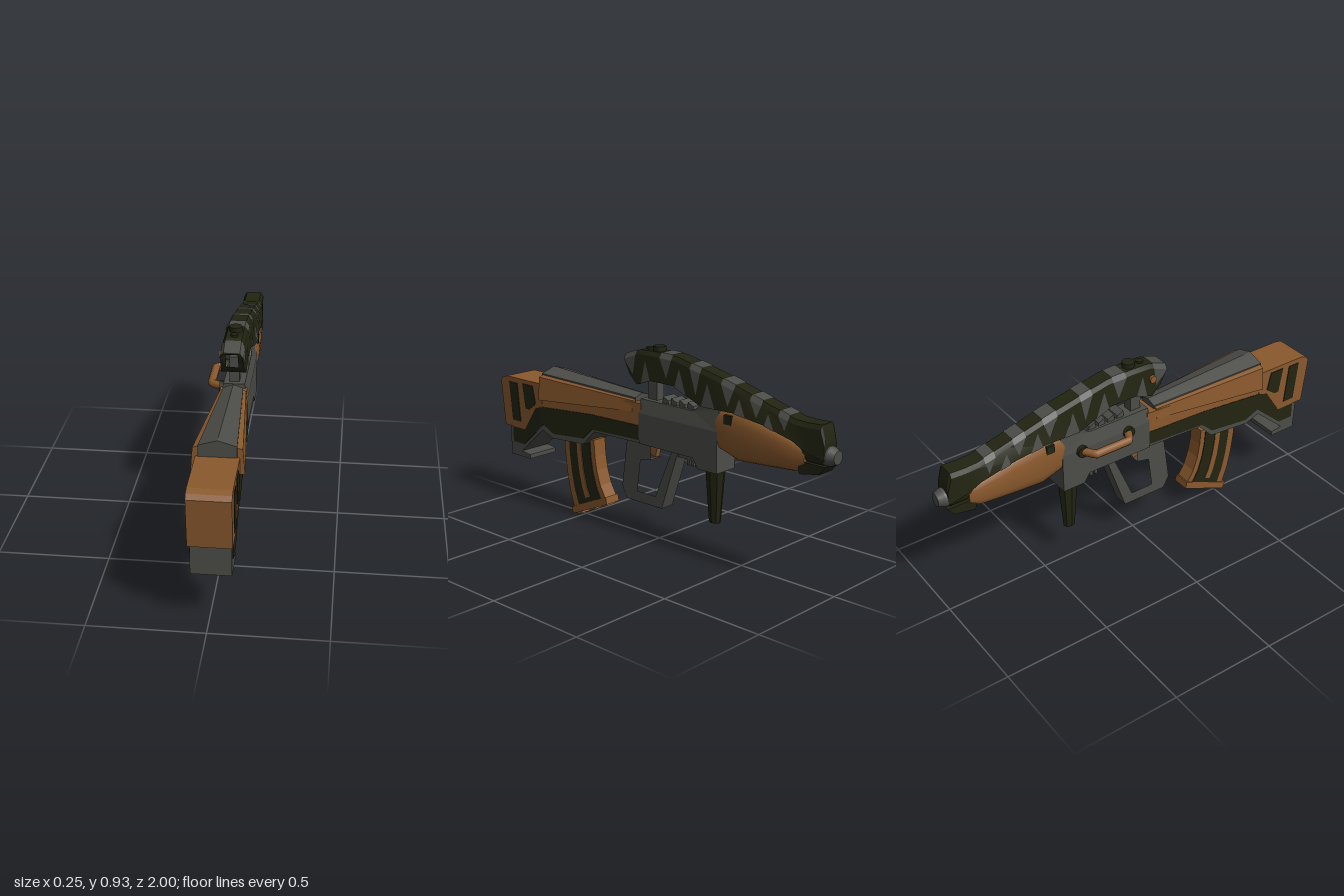
import * as THREE from 'three';
import { toCreasedNormals } from 'three/addons/utils/BufferGeometryUtils.js';

const mat = (name, color) => Object.assign(new THREE.MeshStandardMaterial({ color }), { name });
const lerp = THREE.MathUtils.lerp;

export function createModel() {
  const model = new THREE.Group();
  model.name = 'rifle';
  const brown = mat('brown', 0x8a592d), grey = mat('grey', 0x4c4c48), dark = mat('darkGreen', 0x222411);

  const add = (name, geo, m, x = 0, y = 0, z = 0) => {
    const mesh = new THREE.Mesh(geo, m);
    mesh.name = name;
    mesh.position.set(x, y, z);
    model.add(mesh);
    return mesh;
  };
  const box = (name, w, h, d, m, x, y, z) => add(name, new THREE.BoxGeometry(w, h, d), m, x, y, z);

  // Side profile of [z, y] points, extruded across x to half width w (number or rule of z, y)
  const side = (name, pts, w, m, hole) => {
    const toV = (p) => new THREE.Vector2(p[0], p[1]);
    const shape = new THREE.Shape(pts.map(toV));
    if (hole) shape.holes.push(new THREE.Path(hole.map(toV)));
    const geo = new THREE.ExtrudeGeometry(shape, { depth: 2, bevelEnabled: false });
    geo.translate(0, 0, -1).rotateY(-Math.PI / 2);
    const p = geo.attributes.position;
    for (let i = 0; i < p.count; i++) {
      p.setX(i, p.getX(i) * (typeof w === 'number' ? w : w(p.getZ(i), p.getY(i))));
    }
    geo.computeVertexNormals();
    return add(name, geo, m);
  };

  // Skin over rings running from front to back, each counter-clockwise seen from +z
  const loft = (name, rings, m, crease = 0.3, frontCap = true) => {
    const n = rings[0].length, pos = rings.flat(2), idx = [];
    for (let i = 0; i < rings.length - 1; i++) {
      for (let j = 0; j < n; j++) {
        const a = i * n + j, b = i * n + (j + 1) % n, c = a + n, d = b + n;
        idx.push(a, c, b, c, d, b);
      }
    }
    const last = (rings.length - 1) * n;
    for (let j = 1; j < n - 1; j++) {
      if (frontCap) idx.push(0, j, j + 1);
      idx.push(last, last + j + 1, last + j);
    }
    const geo = new THREE.BufferGeometry();
    geo.setAttribute('position', new THREE.Float32BufferAttribute(pos, 3));
    geo.setIndex(idx);
    return add(name, toCreasedNormals(geo, crease), m);
  };

  // Stock and body, narrowing toward the receiver
  const taper = (extra) => (z) => extra + (z > 0.7 ? 0.085 : lerp(0.055, 0.085, (z - 0.06) / 0.64));
  side('stockBlock', [[1, 0.625], [0.985, 0.645], [0.955, 0.655], [0.7, 0.655], [0.69, 0.54], [0.74, 0.525],
    [0.825, 0.4], [0.975, 0.4]], 0.091, brown);
  side('upperBody', [[0.7, 0.655], [0.7, 0.54], [0.37, 0.56], [0.05, 0.56], [0.05, 0.665]], taper(0.005), brown);
  side('lowerBody', [[0.945, 0.4], [0.94, 0.25], [0.8, 0.25], [0.8, 0.272], [0.86, 0.28], [0.7, 0.42], [0.63, 0.39],
    [0.42, 0.4], [0.35, 0.475], [0.05, 0.475], [0.05, 0.56], [0.37, 0.56], [0.69, 0.54], [0.74, 0.525], [0.825, 0.4]],
  taper(0), grey);
  side('bodyBand', [[0.74, 0.524], [0.69, 0.538], [0.37, 0.558], [0.05, 0.558], [0.05, 0.49], [0.36, 0.485],
    [0.42, 0.43], [0.62, 0.415], [0.69, 0.45], [0.84, 0.32], [0.92, 0.32], [0.92, 0.4], [0.825, 0.402]], taper(0.004), dark);
  side('rearStockSlot', [[0.935, 0.63], [0.875, 0.63], [0.855, 0.435], [0.915, 0.435]], 0.094, dark);
  side('frontStockSlot', [[0.835, 0.635], [0.76, 0.635], [0.74, 0.545], [0.79, 0.51], [0.815, 0.51]], 0.094, dark);

  // Cheek rest: flared brown sides with a grey ridged roof
  const gable = (z, w0, y0, w1, y1, top) => [[w0, y0, z], [w1, y1, z], [0, top, z], [-w1, y1, z], [-w0, y0, z]];
  loft('cheekSides', [gable(0.695, 0.112, 0.578, 0.103, 0.692, 0.724), gable(0.1, 0.064, 0.62, 0.059, 0.67, 0.69)], brown);
  loft('cheekRoof', [gable(0.7, 0.08, 0.62, 0.08, 0.706, 0.73), gable(0.095, 0.045, 0.63, 0.045, 0.682, 0.698)], grey);

  // Receiver with chamfered top, rails and post
  side('receiver', [[0.06, 0.62], [0.06, 0.475], [-0.27, 0.475], [-0.3, 0.43], [-0.41, 0.43], [-0.41, 0.62]], 0.062, grey);
  side('receiverTop', [[0.06, 0.62], [-0.41, 0.62], [-0.41, 0.72], [-0.3, 0.72], [-0.26, 0.685], [0.06, 0.685]],
    (z, y) => (y > 0.65 ? 0.048 : 0.062), grey);
  box('sightPost', 0.045, 0.13, 0.055, grey, 0, 0.74, 0.008);
  box('lowerRail', 0.05, 0.03, 0.16, grey, 0, 0.462, -0.2);
  for (let i = 0; i < 4; i++) {
    const z = -0.08 - i * 0.05;
    side('railTooth', [[z + 0.015, 0.68], [z - 0.025, 0.68], [z - 0.02, 0.7], [z + 0.012, 0.715]], 0.036, grey);
    if (i < 3) box('lowerRailTooth', 0.044, 0.03, 0.016, grey, 0, 0.435, -0.21 - i * 0.025);
  }

  // Grip loop, trigger and front leg
  side('gripLoop', [[0.16, 0.48], [0.195, 0.235], [0.165, 0.18], [-0.06, 0.18], [-0.15, 0.445], [-0.17, 0.48]], 0.036, grey,
    [[0.01, 0.4], [0.075, 0.385], [0.095, 0.23], [-0.02, 0.23], [-0.12, 0.465], [0.01, 0.465]]);
  side('trigger', [[0.03, 0.48], [-0.015, 0.48], [0, 0.41], [0.03, 0.42]], 0.014, brown);
  add('frontLeg', toCreasedNormals(new THREE.CylinderGeometry(0.05, 0.029, 0.26, 8), 0.3), dark, 0, 0.31, -0.352).scale.x = 0.8;

  // Curved magazine: rows of [front z, front y, rear z, rear y]
  const rows = [[0.595, 0.42, 0.385, 0.42], [0.59, 0.32, 0.38, 0.34], [0.578, 0.22, 0.368, 0.27],
    [0.56, 0.13, 0.345, 0.2], [0.53, 0.04, 0.31, 0.14]];
  const magStrip = (name, u0, u1, w, m, shorten = 0) => {
    const at = (r, u) => [lerp(r[0], r[2], u), lerp(r[1], r[3], u)];
    const used = rows.map((r, i) => (i === 4 ? r.map((v, k) => lerp(v, rows[3][k], shorten)) : r));
    side(name, [...used.map((r) => at(r, u0)), ...used.map((r) => at(r, u1)).reverse()], w, m);
  };
  magStrip('magazine', 0, 1, 0.037, brown);
  magStrip('magazineInset', 0.17, 0.87, 0.04, dark, 0.12);
  magStrip('magazineRib', 0.44, 0.58, 0.043, brown, 0.4);
  side('magazineBase', [[0.548, 0.045], [0.535, 0.012], [0.297, 0.115], [0.305, 0.15]], 0.042, brown);
  for (const t of [0.08, 0.5, 0.87]) {
    box('baseLug', 0.06, 0.024, 0.04, brown, 0, lerp(0.018, 0.118, t), lerp(0.525, 0.305, t)).rotation.x = 0.42;
  }

  // Rounded handguard: [z, top, bottom, half width]
  const hull = [[-0.365, 0.67, 0.61, 0.05], [-0.41, 0.72, 0.535, 0.062], [-0.51, 0.735, 0.503, 0.066],
    [-0.66, 0.705, 0.512, 0.063], [-0.81, 0.66, 0.522, 0.053], [-0.865, 0.64, 0.545, 0.046]];
  const soft = (v) => Math.sign(v) * Math.abs(v) ** 0.65;
  loft('handguard', hull.map(([z, top, bot, w]) => Array.from({ length: 20 }, (_, j) => {
    const a = (j / 20) * Math.PI * 2;
    return [w * soft(Math.cos(a)), (top + bot) / 2 + (top - bot) / 2 * soft(Math.sin(a)), z];
  })), brown, 0.7);
  box('handguardPort', 0.132, 0.04, 0.04, dark, 0, 0.685, -0.47);

  // Hollow carry handle: [z top, y top, z bottom, y bottom, lower half width]
  const spine = [[0.165, 0.875, 0.125, 0.79, 0.052], [0.07, 0.91, 0.075, 0.75, 0.057], [-0.02, 0.912, -0.01, 0.78, 0.057],
    [-0.15, 0.91, -0.15, 0.78, 0.058], [-0.31, 0.877, -0.31, 0.718, 0.062], [-0.41, 0.855, -0.41, 0.72, 0.066],
    [-0.5, 0.832, -0.5, 0.722, 0.068], [-0.66, 0.788, -0.66, 0.7, 0.066], [-0.81, 0.748, -0.81, 0.66, 0.059],
    [-0.87, 0.745, -0.87, 0.625, 0.053], [-0.94, 0.748, -0.94, 0.605, 0.048], [-0.96, 0.68, -0.96, 0.6, 0.044]];
  const mirrorRing = (half) => [...half, ...half.map(([x, y, z]) => [-x, y, z]).reverse()];
  const WM = 0.048, WT = 0.036;
  const shell = spine.map(([zt, yt, zb, yb, wb]) => mirrorRing([[wb, yb, zb], [Math.min(WM, wb), yt - 0.02, zt], [WT, yt, zt]]));
  const windowRing = mirrorRing([[0.027, 0.797, 0.128], [0.027, 0.86, 0.158], [0.025, 0.87, 0.163]]);
  loft('carryHandle', [windowRing, ...shell], dark, 0.3, false);

  // Camouflage teeth, laid just above the handle's skin
  const tris = [];
  const spineAt = (z) => {
    let i = 0;
    while (i < spine.length - 2 && z < spine[i + 1][0]) i++;
    const t = (z - spine[i][0]) / (spine[i + 1][0] - spine[i][0]);
    return spine[i].map((v, k) => lerp(v, spine[i + 1][k], t));
  };
  const skin = (z, t, s) => {
    const [, yt, zb, yb, wb] = spineAt(z);
    return [s * (lerp(Math.min(WM, wb), wb, t) + 0.004), lerp(yt - 0.02, yb, t), lerp(z, zb, t)];
  };
  const tri = (s, a, b, c) => tris.push(...a, ...(s > 0 ? b : c), ...(s > 0 ? c : b));
  for (const s of [1, -1]) {
    for (const [z0, z1] of [[0.163, 0.09], [-0.06, -0.13], [-0.24, -0.3], [-0.42, -0.49], [-0.58, -0.64], [-0.73, -0.78]]) {
      tri(s, skin(z0, 0, s), skin((z0 + z1) / 2 - 0.015, 0.75, s), skin(z1, 0, s));
      const strip = [0, 1, 2].map((k) => [z0, z1].map((z) => (k === 0 ? skin(z, 0, s)
        : [k === 1 ? s * WT : 0, spineAt(z)[1] + 0.004, z])));
      for (let k = 0; k < 2; k++) {
        tri(s, strip[k][0], strip[k][1], strip[k + 1][1]);
        tri(s, strip[k][0], strip[k + 1][1], strip[k + 1][0]);
      }
    }
    for (const [z0, z1] of [[0.04, -0.02], [-0.16, -0.23], [-0.32, -0.4], [-0.51, -0.57], [-0.67, -0.72]]) {
      tri(s, skin(z0, 1, s), skin(z1, 1, s), skin((z0 + z1) / 2 + 0.015, 0.2, s));
    }
  }
  const camo = new THREE.BufferGeometry();
  camo.setAttribute('position', new THREE.Float32BufferAttribute(tris, 3));
  camo.computeVertexNormals();
  add('camouflageTeeth', camo, grey);

  // Sight knobs
  add('sightKnob', new THREE.CylinderGeometry(0.03, 0.03, 0.035, 8), dark, 0, 0.916, -0.015);
  add('smallKnob', new THREE.CylinderGeometry(0.017, 0.017, 0.03, 8), dark, 0, 0.905, 0.045);
  add('sideKnob', new THREE.CylinderGeometry(0.018, 0.018, 0.02, 12).rotateZ(Math.PI / 2), brown, -0.053, 0.836, 0.08);

  // Muzzle
  add('barrelCollar', new THREE.CylinderGeometry(0.046, 0.046, 0.12, 16).rotateX(Math.PI / 2), dark, 0, 0.615, -0.89);
  add('muzzle', new THREE.CylinderGeometry(0.043, 0.03, 0.03, 16).rotateX(Math.PI / 2), grey, 0, 0.615, -0.985);
  add('muzzleRing', new THREE.CylinderGeometry(0.043, 0.043, 0.03, 16).rotateX(Math.PI / 2), grey, 0, 0.615, -0.955);
  side('lowerJaw', [[-0.83, 0.578], [-0.97, 0.578], [-0.94, 0.54], [-0.84, 0.522]], 0.045, dark);

  // Side cocking handle
  const path = new THREE.CurvePath();
  const pts = [[-0.06, -0.31], [-0.12, -0.275], [-0.12, -0.095], [-0.06, -0.06]].map(([x, z]) => new THREE.Vector3(x, 0.612, z));
  for (let i = 0; i < 3; i++) path.add(new THREE.LineCurve3(pts[i], pts[i + 1]));
  add('cockingHandle', new THREE.TubeGeometry(path, 36, 0.019, 10), brown);
  for (const z of [-0.31, -0.06]) {
    add('handlePivot', new THREE.CylinderGeometry(0.028, 0.028, 0.025, 12).rotateZ(Math.PI / 2), dark, -0.066, 0.612, z);
  }

  model.children.forEach((part) => { part.position.x += 0.013; });
  return model;
}
